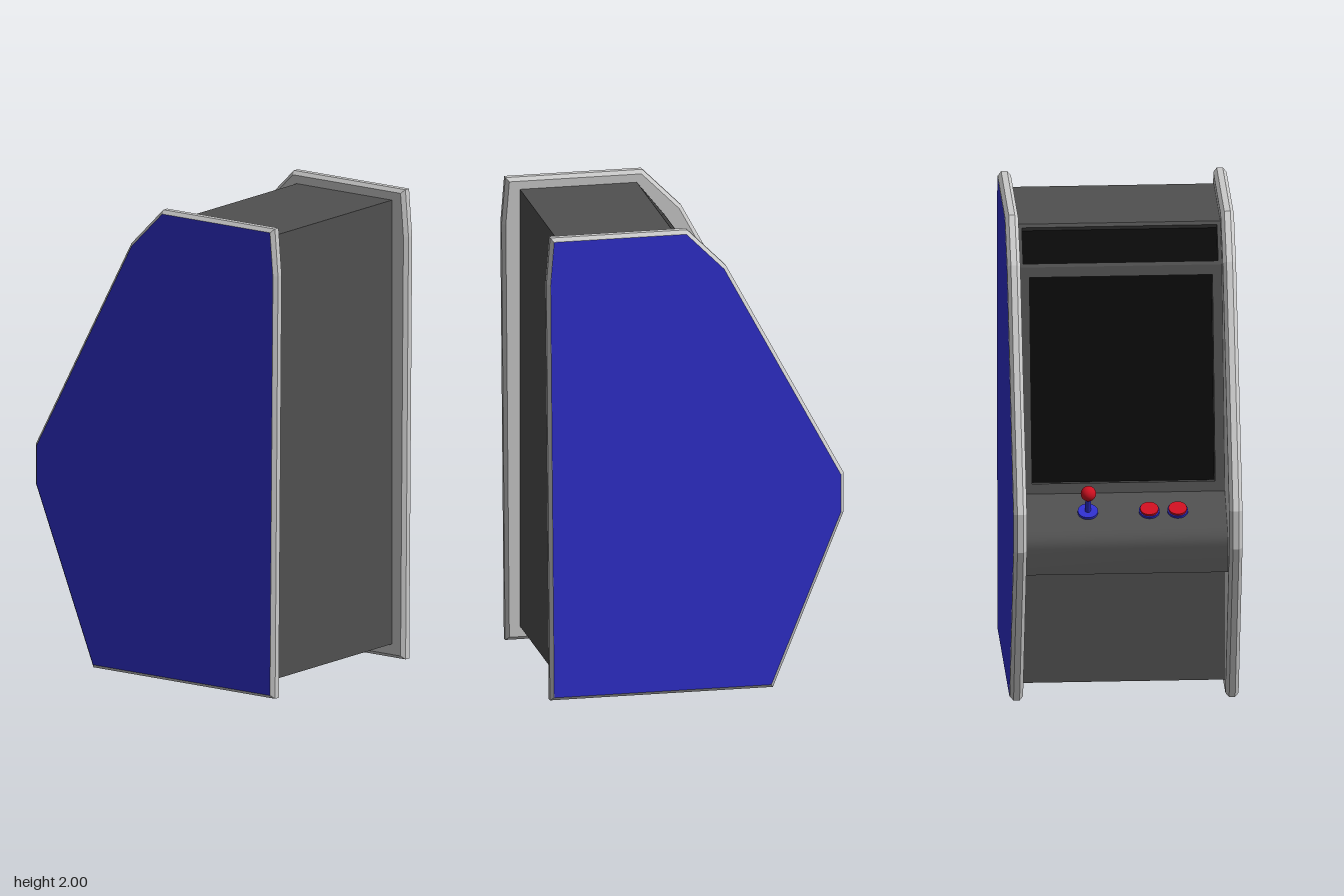
import * as THREE from 'three';
import { toCreasedNormals } from 'three/addons/utils/BufferGeometryUtils.js';

const mat = (color) => new THREE.MeshStandardMaterial({ color });
const GREY = mat(0xcccccc), BODY = mat(0x505050), BLACK = mat(0x0a0a0a);
const BLUE = mat(0x3030d0), RED = mat(0xd01020);
const HALF = 0.42; // half width of the cabinet between the side panels

function add(parent, name, geometry, material, x = 0, y = 0, z = 0) {
  const mesh = new THREE.Mesh(geometry, material);
  mesh.name = name;
  mesh.position.set(x, y, z);
  parent.add(mesh);
  return mesh;
}

const polygon = (pts) => new THREE.Shape(pts.map(([x, y]) => new THREE.Vector2(x, y)));

// Group lying on the slope from a to b: local x = world z, local y = up the slope, local z = outward
function slopeGroup(name, a, b) {
  const up = new THREE.Vector3(b[0] - a[0], b[1] - a[1], 0).normalize();
  const out = new THREE.Vector3(-up.y, up.x, 0);
  const group = new THREE.Group();
  group.name = name;
  group.quaternion.setFromRotationMatrix(
    new THREE.Matrix4().makeBasis(new THREE.Vector3(0, 0, 1), up, out));
  group.position.set(a[0], a[1], 0);
  return group;
}

// Bezel with a rectangular opening and a dark pane set back inside it
function framedPane(name, a, b, depth, sideRim, endRim) {
  const group = slopeGroup(name, a, b);
  const len = Math.hypot(b[0] - a[0], b[1] - a[1]);
  const w = HALF - sideRim;
  const frame = polygon([[-HALF, 0], [HALF, 0], [HALF, len], [-HALF, len]]);
  frame.holes.push(polygon([[-w, endRim], [-w, len - endRim], [w, len - endRim], [w, endRim]]));
  add(group, name + 'Bezel',
    new THREE.ExtrudeGeometry(frame, { depth, bevelEnabled: false }), BODY, 0, 0, -depth);
  add(group, name + 'Pane',
    new THREE.PlaneGeometry(2 * w, len - 2 * endRim), BLACK, 0, len / 2, -depth + 0.003);
  return group;
}

export function createModel() {
  const model = new THREE.Group();
  model.name = 'arcadeCabinet';

  // Side panels: bevelled slabs with a blue outer face
  const side = polygon([[-0.32, 0.015], [0.6, 0.015], [0.615, 1.8], [0.6, 1.985],
    [0.04, 1.985], [-0.12, 1.825], [-0.615, 0.905], [-0.615, 0.745]]);
  const slab = new THREE.ExtrudeGeometry(side, {
    depth: 0.025, bevelSize: 0.015, bevelThickness: 0.015, bevelSegments: 1 });
  const face = new THREE.ShapeGeometry(side);
  for (const s of [1, -1]) {
    const panel = new THREE.Group();
    panel.name = s > 0 ? 'leftSidePanel' : 'rightSidePanel';
    add(panel, 'panelSlab', slab, GREY, 0, 0, s * 0.4475 - 0.0125);
    const art = s > 0 ? face : face.clone().rotateY(Math.PI).scale(-1, 1, 1);
    if (s < 0) {
      // restore the winding after mirroring
      const idx = art.index.array;
      for (let i = 0; i < idx.length; i += 3) [idx[i], idx[i + 1]] = [idx[i + 1], idx[i]];
      art.computeVertexNormals();
    }
    add(panel, 'panelFace', art, BLUE, 0, 0, s * 0.4765);
    model.add(panel);
  }

  // Cabinet body: one profile, set back behind the screen and the marquee
  const deckBack = [-0.285, 0.885], ridge = [-0.06, 1.8], top = [0.06, 1.95];
  const body = new THREE.Shape();
  body.moveTo(-0.28, 0.06);
  body.lineTo(0.555, 0.06);
  body.lineTo(0.555, 1.95);
  body.lineTo(top[0], top[1]);
  body.lineTo(0.091, 1.925);
  body.lineTo(-0.029, 1.775);
  body.lineTo(0.008, 1.783);
  body.lineTo(-0.217, 0.868);
  body.lineTo(deckBack[0], deckBack[1]);
  body.lineTo(-0.47, 0.795);
  body.quadraticCurveTo(-0.525, 0.768, -0.525, 0.72);
  body.lineTo(-0.525, 0.61);
  body.lineTo(-0.28, 0.58);
  const bodyGeo = new THREE.ExtrudeGeometry(body,
    { depth: 2 * HALF, bevelEnabled: false, curveSegments: 8 });
  add(model, 'cabinetBody', toCreasedNormals(bodyGeo, 0.5), BODY, 0, 0, -HALF);

  // Screen and marquee
  model.add(framedPane('screen', deckBack, ridge, 0.07, 0.04, 0.042));
  model.add(framedPane('marquee', ridge, top, 0.04, 0.015, 0.016));

  // Controls stand on the sloping deck; local z points out of it
  const deck = slopeGroup('controls', [-0.47, 0.795], deckBack);
  model.add(deck);
  const disc = (r, h) => new THREE.CylinderGeometry(r, r, h, 24).rotateX(Math.PI / 2);
  const mid = 0.09;
  add(deck, 'joystickBase', disc(0.042, 0.012), BLUE, -0.155, mid, 0.006);
  add(deck, 'joystickShaft', disc(0.012, 0.1), BLUE, -0.155, mid, 0.05);
  add(deck, 'joystickBall', new THREE.SphereGeometry(0.032, 24, 16), RED, -0.155, mid, 0.11);
  for (const z of [0.1, 0.218]) {
    add(deck, 'buttonRing', disc(0.043, 0.01), BLUE, z, mid, 0.005);
    add(deck, 'buttonCap', disc(0.038, 0.02), RED, z, mid, 0.01);
  }
  return model;
}
